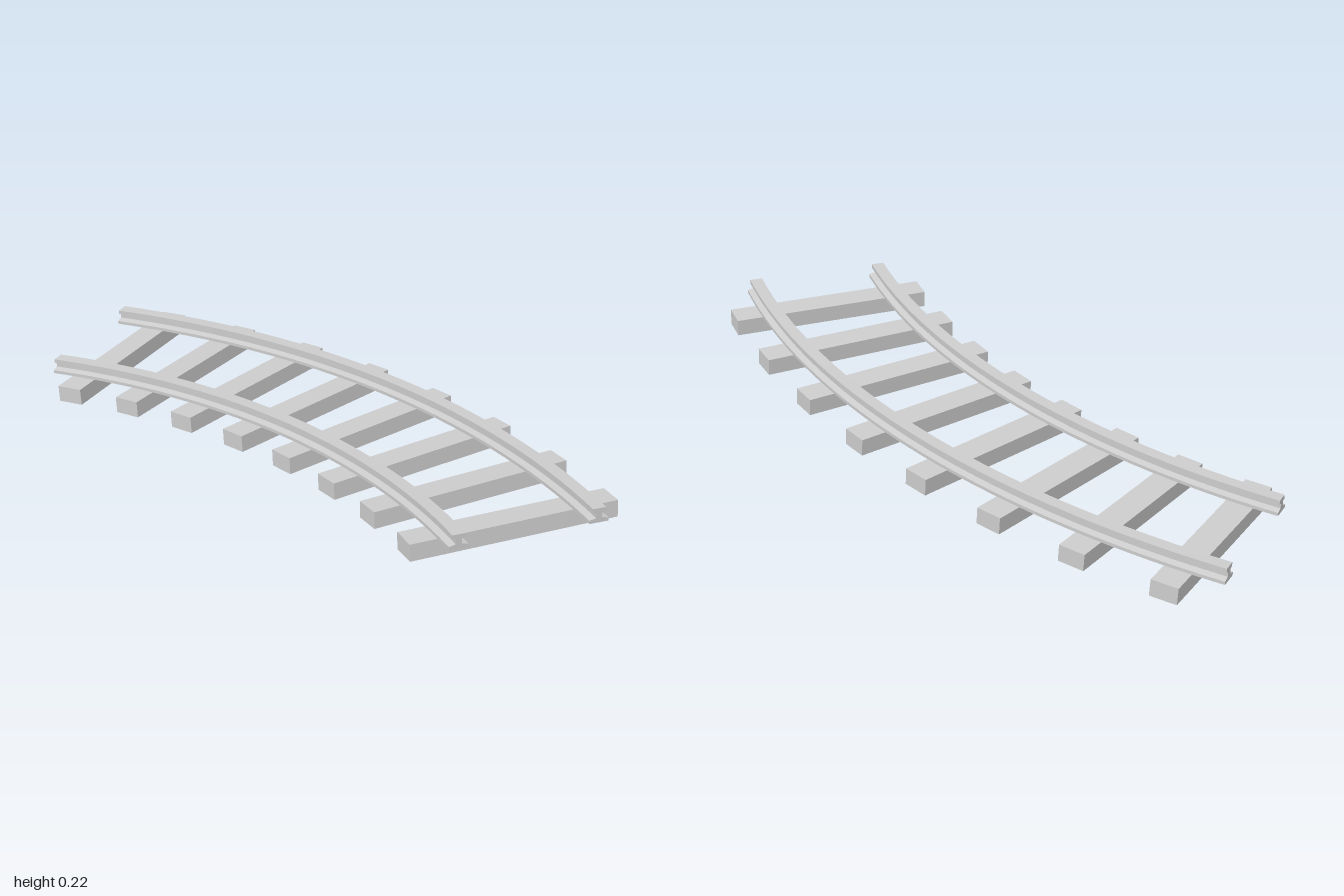
import * as THREE from 'three';
import { toCreasedNormals } from 'three/addons/utils/BufferGeometryUtils.js';

const SWEEP = Math.PI / 4;      // turn of the curve
const RISE = 0.131;             // climb over the whole curve
const CX = -1, CZ = 2.278;      // centre of the curve
const MID = 2.59, HALF_GAUGE = 0.208;
const TIES = 8, TIE_W = 0.083, TIE_H = 0.052, TIE_L = 0.64;
const BASE = -0.0055;           // underside of the ties at the low end

// Point on the climbing curve: t runs 0..1 along the track
function onTrack(radius, y, t) {
  const a = t * SWEEP;
  return new THREE.Vector3(CX + radius * Math.sin(a), BASE + y + RISE * t, CZ - radius * Math.cos(a));
}

// I-shaped rail section, extruded and then bent along the curve
function railGeometry(radius) {
  const half = [
    [0.029, 0], [0.029, 0.010], [0.009, 0.015], [0.009, 0.030],
    [0.020, 0.033], [0.020, 0.045],
  ];
  const outline = [...half, ...half.slice().reverse().map(([x, y]) => [-x, y])];
  const shape = new THREE.Shape(outline.map(([x, y]) => new THREE.Vector2(x, y)));
  const geo = new THREE.ExtrudeGeometry(shape, { depth: 1, steps: 32, bevelEnabled: false });
  const pos = geo.attributes.position;
  for (let i = 0; i < pos.count; i++) {
    const p = onTrack(radius + pos.getX(i), TIE_H + pos.getY(i), pos.getZ(i));
    pos.setXYZ(i, p.x, p.y, p.z);
  }
  return toCreasedNormals(geo, 0.3);
}

export function createModel() {
  const track = new THREE.Group();
  track.name = 'curvedTrack';
  const grey = new THREE.MeshStandardMaterial({ color: 0xcccccc });
  grey.name = 'lightGrey';

  // Rails
  for (const [name, side] of [['outerRail', 1], ['innerRail', -1]]) {
    const rail = new THREE.Mesh(railGeometry(MID + side * HALF_GAUGE), grey);
    rail.name = name;
    track.add(rail);
  }

  // Ties, turned with the curve and tilted with the climb
  const tieGeo = new THREE.BoxGeometry(TIE_W, TIE_H, TIE_L);
  const slope = Math.atan(RISE / (MID * SWEEP));
  for (let i = 0; i < TIES; i++) {
    const t = (i + 0.5) / TIES;
    const tie = new THREE.Mesh(tieGeo, grey);
    tie.name = `tie${i + 1}`;
    tie.position.copy(onTrack(MID, TIE_H / 2, t));
    tie.rotation.set(0, -t * SWEEP, slope, 'YXZ');
    track.add(tie);
  }
  return track;
}
